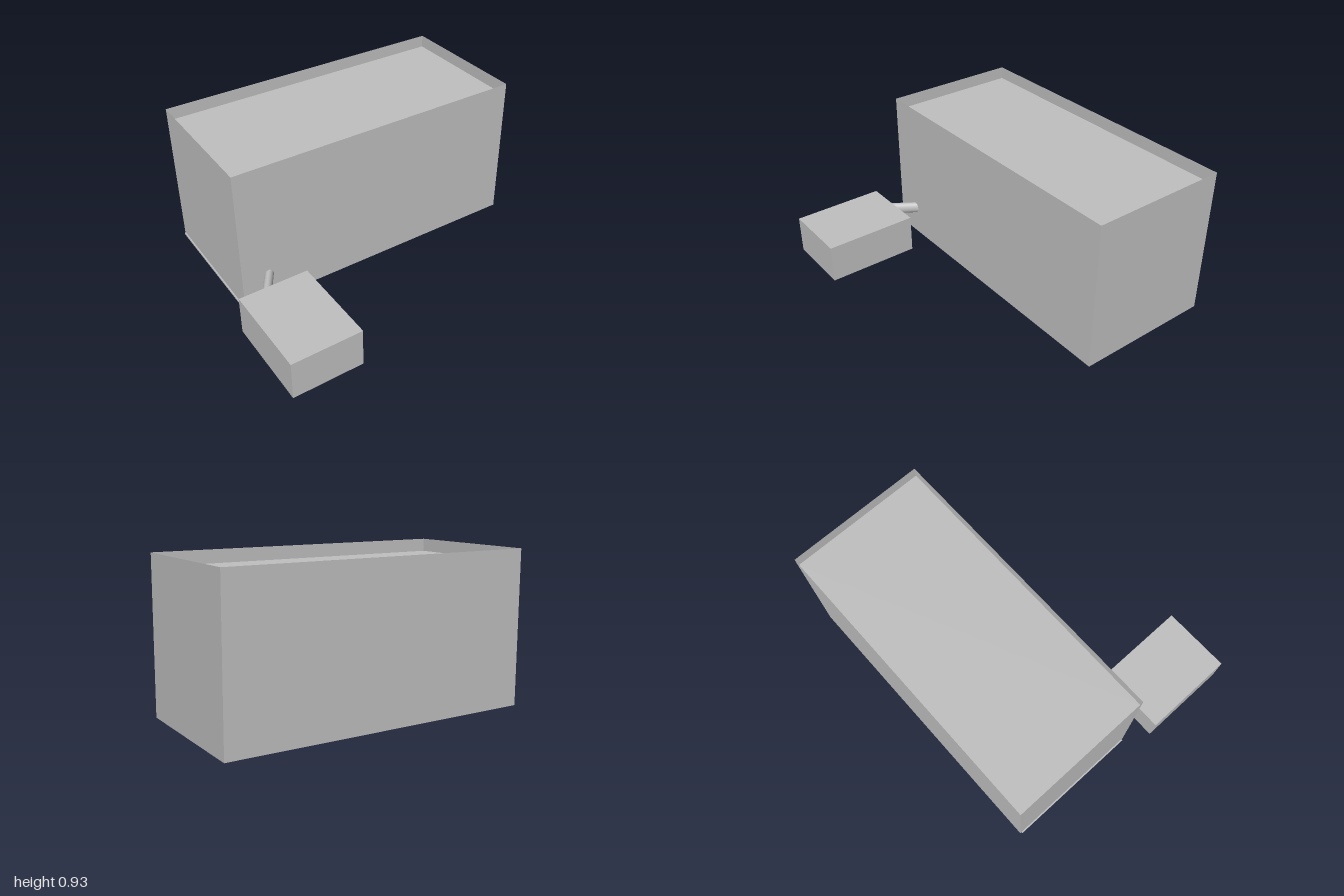
import * as THREE from 'three';

export function createModel() {
  const model = new THREE.Group();
  const grey = new THREE.MeshStandardMaterial({ color: 0xc0c0c0, side: THREE.DoubleSide });
  grey.name = 'plain grey';

  const add = (name, geometry) => {
    const mesh = new THREE.Mesh(geometry, grey);
    mesh.name = name;
    model.add(mesh);
    return mesh;
  };

  // Box given by its lowest and highest corners
  const boxBetween = ([x0, y0, z0], [x1, y1, z1]) =>
    new THREE.BoxGeometry(x1 - x0, y1 - y0, z1 - z0)
      .translate((x0 + x1) / 2, (y0 + y1) / 2, (z0 + z1) / 2);

  // Thin-walled tank, open at the top (the +y face is left out)
  const tank = boxBetween([-0.905, 0, -0.805], [0.995, 0.93, 0.07]);
  const index = Array.from(tank.index.array);
  index.splice(12, 6);
  tank.setIndex(index);
  tank.clearGroups();
  add('tankShell', tank);

  // Level surface just below the rim
  add('tankSurface', new THREE.PlaneGeometry(1.9, 0.875)
    .rotateX(-Math.PI / 2).translate(0.045, 0.85, -0.3675));

  // Narrow sill along the foot of the end wall
  add('endSill', boxBetween([-0.913, 0.002, -0.795], [-0.905, 0.014, 0.06]));

  // Small closed box beside the tank
  add('sideBox', boxBetween([-1, 0, 0.22], [-0.565, 0.245, 0.805]));

  // Slanting oval pipe joining the side box to the tank
  const start = new THREE.Vector3(-0.85, 0.187, 0.25);
  const end = new THREE.Vector3(-0.716, 0.187, 0.04);
  const run = end.clone().sub(start);
  const pipe = add('connectingPipe', new THREE.CylinderGeometry(1, 1, run.length(), 32)
    .rotateX(Math.PI / 2).scale(0.026, 0.037, 1));
  pipe.position.copy(start).add(end).multiplyScalar(0.5);
  pipe.rotation.y = Math.atan2(run.x, run.z);

  return model;
}
